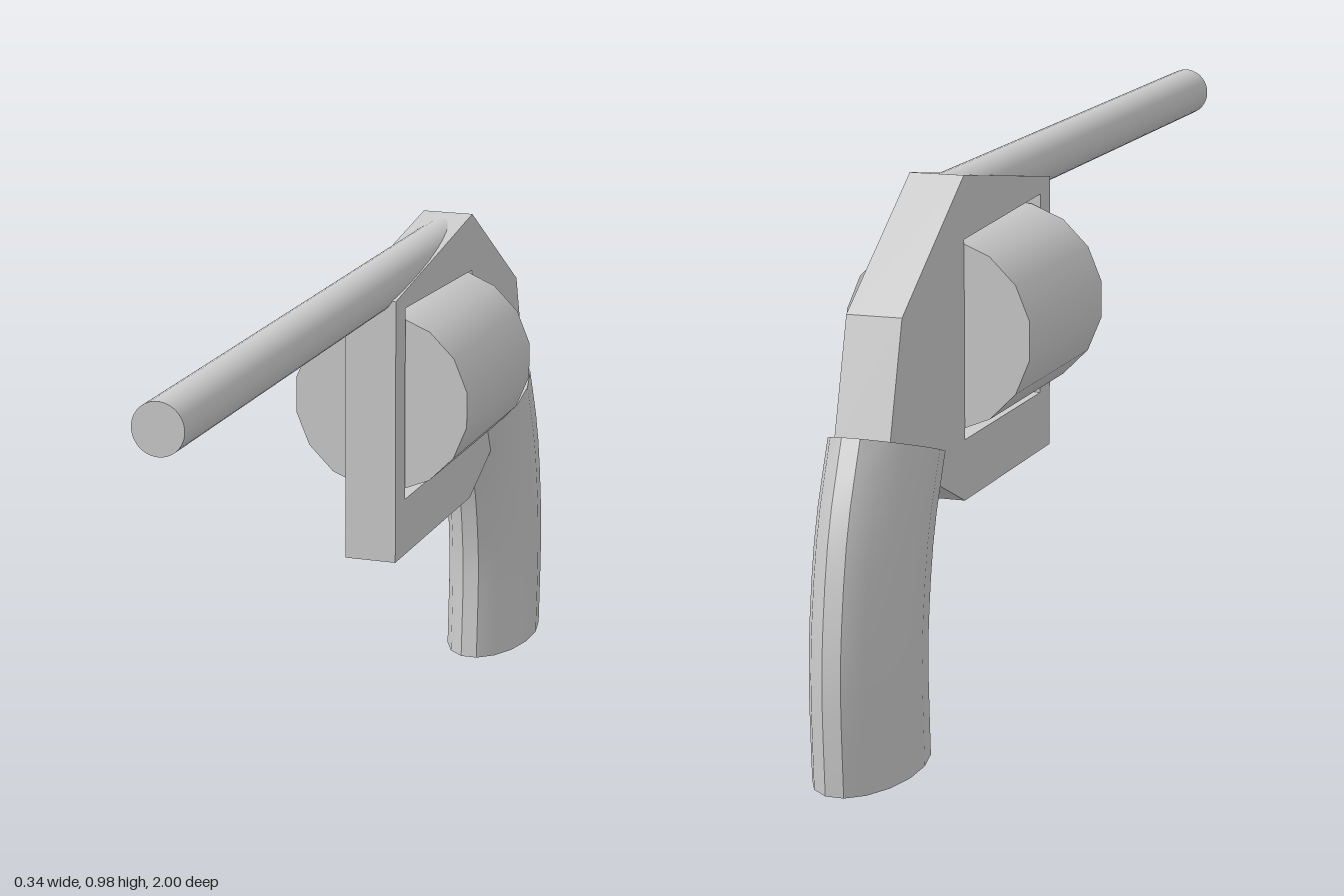
import * as THREE from 'three';
import { toCreasedNormals } from 'three/addons/utils/BufferGeometryUtils.js';

const material = new THREE.MeshStandardMaterial({ color: 0xcccccc });

function part(name, geometry) {
  const mesh = new THREE.Mesh(geometry, material);
  mesh.name = name;
  return mesh;
}

// Cylinder along z between two depths, with flats facing up and sideways
function rod(radius, sides, y, zFront, zBack) {
  const g = new THREE.CylinderGeometry(radius, radius, zFront - zBack, sides);
  g.rotateY(Math.PI / sides);
  g.rotateX(Math.PI / 2);
  return g.translate(0, y, (zFront + zBack) / 2);
}

const points = (list) => list.map(([s, y]) => new THREE.Vector2(s, y));

// Flat frame plate with a window; profile runs front to back
function frameGeometry() {
  const shape = new THREE.Shape(points([
    [0.03, 0.395], [0.49, 0.395], [0.65, 0.466], [0.8, 0.5],
    [0.85, 0.575], [0.79, 0.78], [0.49, 0.975], [0.03, 0.903],
  ]));
  shape.holes.push(new THREE.Path(points([
    [0.085, 0.505], [0.085, 0.878], [0.49, 0.862], [0.49, 0.505],
  ])));
  const g = new THREE.ExtrudeGeometry(shape, { depth: 0.1, bevelEnabled: false });
  return g.translate(0, 0, -0.05).rotateY(Math.PI / 2);
}

// Elliptical grip swept along a curve; each station is depth, height, tilt
function gripGeometry() {
  const path = new THREE.CatmullRomCurve3([
    new THREE.Vector3(0.818, 0, 0),
    new THREE.Vector3(0.827, 0.165, 0.04),
    new THREE.Vector3(0.82, 0.275, 0.13),
    new THREE.Vector3(0.79, 0.42, 0.23),
    new THREE.Vector3(0.735, 0.548, 0.28),
  ]);
  const g = new THREE.CylinderGeometry(1, 1, 1, 16, 10);
  g.rotateY(Math.PI / 16);
  const pos = g.attributes.position;
  for (let i = 0; i < pos.count; i++) {
    const c = path.getPoint(THREE.MathUtils.clamp(pos.getY(i) + 0.5, 0, 1));
    const d = pos.getZ(i) * 0.174;
    pos.setXYZ(i, pos.getX(i) * 0.085, c.y - d * Math.sin(c.z), -c.x + d * Math.cos(c.z));
  }
  return toCreasedNormals(g, Math.PI / 6);
}

export function createModel() {
  const model = new THREE.Group();
  model.name = 'revolver';
  model.add(
    part('frame', frameGeometry()),
    part('barrel', rod(0.0468, 32, 0.923, 1, -0.47)),
    part('drum', rod(0.174, 16, 0.69, -0.09, -0.49)),
    part('grip', gripGeometry()),
  );
  return model;
}
